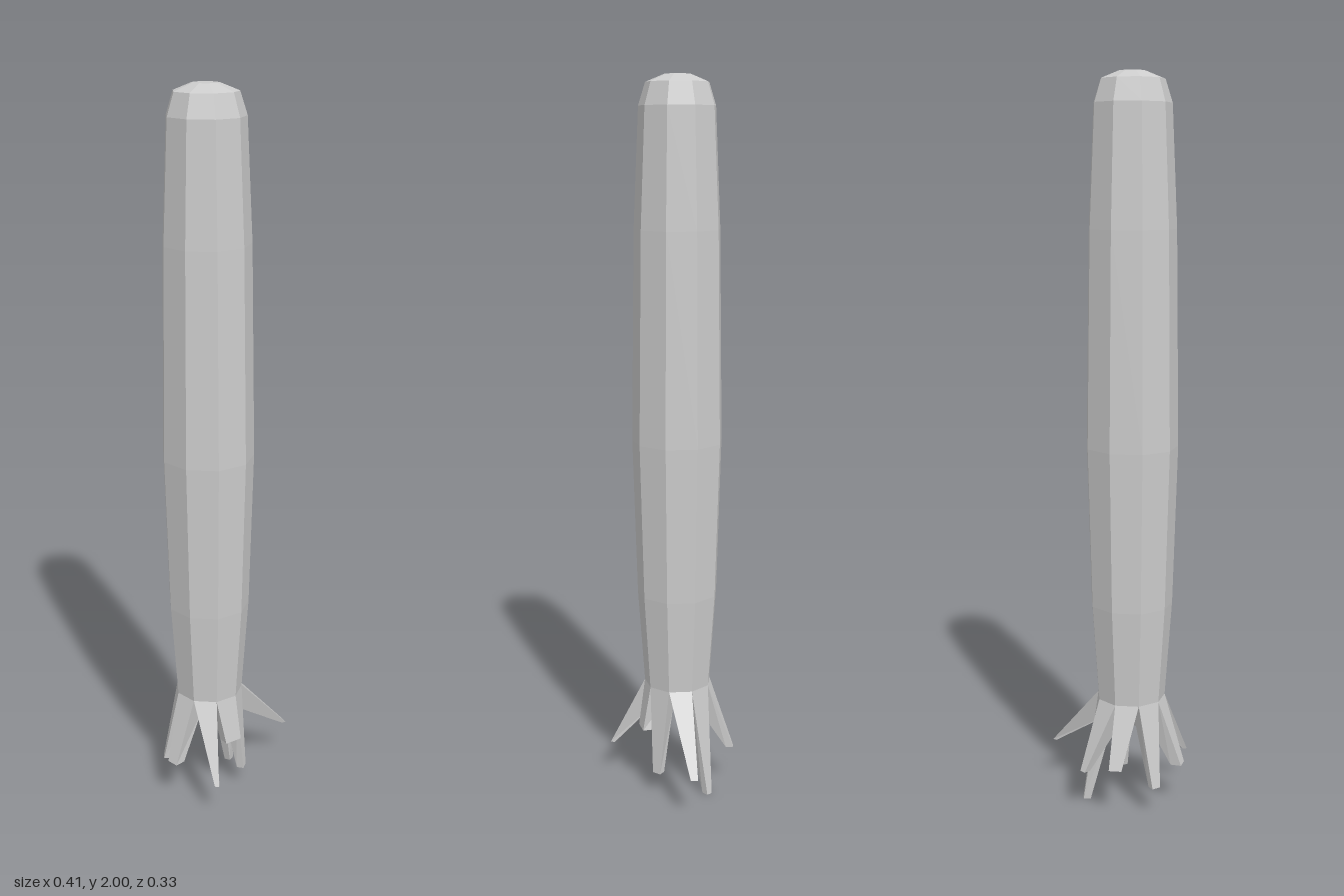
import * as THREE from 'three';

const SIDES = 9;
const STEP = (Math.PI * 2) / SIDES;
const CX = -0.055, CZ = -0.017;          // trunk axis
const BASE_R = 0.095, BASE_Y = 0.31;     // rim the roots grow from
const INNER_R = 0.05, INNER_Y = 0.25;    // underside of the trunk

const material = new THREE.MeshStandardMaterial({ color: 0xcccccc, flatShading: true });

// Tapered four-sided root: grows from one trunk side to an outer tip edge
function makeRoot(index, [x, y, z], width, thickness) {
  const a = index * STEP;
  const rim = (r, h, s) => [CX + r * Math.sin(a + s * STEP / 2), h, CZ + r * Math.cos(a + s * STEP / 2)];
  const tip = (inset, s) => [
    x - inset * Math.sin(a) + s * Math.cos(a) * width / 2,
    y,
    z - inset * Math.cos(a) - s * Math.sin(a) * width / 2,
  ];
  const P = [rim(BASE_R, BASE_Y, -1), rim(BASE_R, BASE_Y, 1), rim(INNER_R, INNER_Y, 1), rim(INNER_R, INNER_Y, -1)];
  const Q = [tip(0, -1), tip(0, 1), tip(thickness, 1), tip(thickness, -1)];
  const pos = [];
  const quad = (p, q, r, s) => pos.push(...p, ...q, ...r, ...p, ...r, ...s);
  for (let k = 0; k < 4; k++) {
    const n = (k + 1) % 4;
    quad(Q[k], Q[n], P[n], P[k]);
  }
  quad(Q[0], Q[3], Q[2], Q[1]);
  const geometry = new THREE.BufferGeometry();
  geometry.setAttribute('position', new THREE.Float32BufferAttribute(pos, 3));
  geometry.computeVertexNormals();
  return new THREE.Mesh(geometry, material);
}

export function createModel() {
  const group = new THREE.Group();
  group.name = 'rootedTrunk';

  // Nine-sided trunk, swelling in the middle with a rounded top
  const profile = [
    [0, INNER_Y], [INNER_R, INNER_Y], [BASE_R, BASE_Y], [0.114, 0.58], [0.127, 1.02],
    [0.119, 1.6], [0.105, 1.92], [0.086, 1.98], [0.036, 2], [0, 2],
  ].map(([r, y]) => new THREE.Vector2(r, y));
  const trunk = new THREE.Mesh(new THREE.LatheGeometry(profile, SIDES, STEP / 2), material);
  trunk.name = 'trunk';
  trunk.position.set(CX, 0, CZ);
  group.add(trunk);

  // Roots, one per trunk side, turning from the front towards +x: tip, width, thickness
  const roots = [
    [[-0.045, 0.18, 0.095], 0.05, 0.03],
    [[0.015, 0.06, 0.065], 0.025, 0.02],
    [[0.203, 0.12, 0.005], 0.02, 0.012],
    [[0.063, 0, -0.08], 0.018, 0.02],
    [[0.021, 0.12, -0.162], 0.018, 0.02],
    [[-0.078, 0.14, -0.158], 0.035, 0.025],
    [[-0.169, 0.08, -0.086], 0.025, 0.02],
    [[-0.202, 0.12, 0.014], 0.034, 0.03],
    [[-0.146, 0.1, 0.16], 0.012, 0.012],
  ];
  roots.forEach(([tip, width, thickness], i) => {
    const root = makeRoot(i, tip, width, thickness);
    root.name = 'root' + (i + 1);
    group.add(root);
  });

  return group;
}
